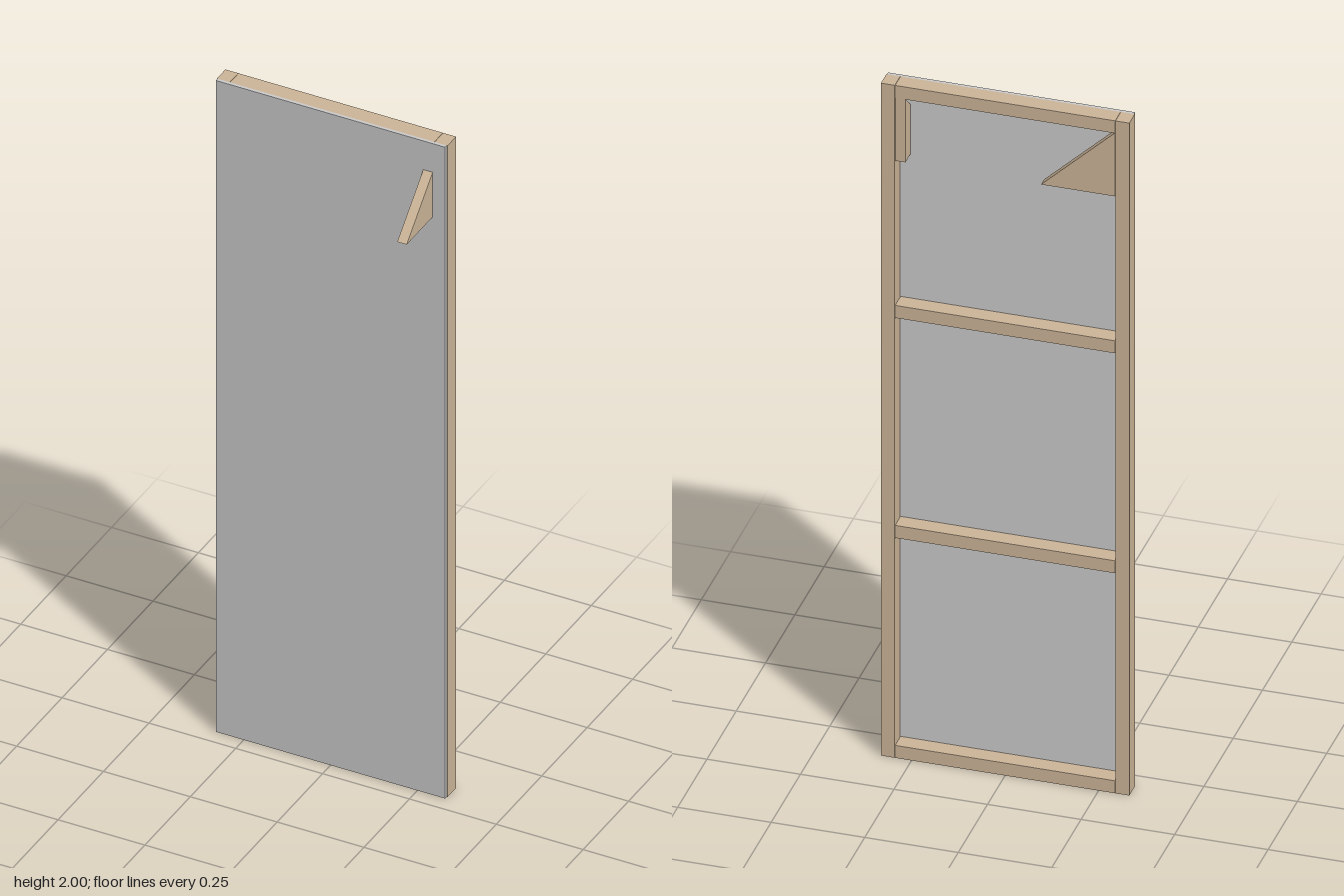
import * as THREE from 'three';

export function createModel() {
  const model = new THREE.Group();
  const wood = new THREE.MeshStandardMaterial({ color: 0xcdb699, flatShading: true });
  const grey = new THREE.MeshStandardMaterial({ color: 0xcccccc, flatShading: true });

  const add = (name, geometry, material, x, y, z) => {
    const mesh = new THREE.Mesh(geometry, material);
    mesh.name = name;
    mesh.position.set(x, y, z);
    model.add(mesh);
    return mesh;
  };

  const bar = 0.037, depth = 0.047, back = -0.1;
  const frameZ = back + depth / 2;

  // Facing sheet
  add('panel', new THREE.BoxGeometry(0.66, 2, 0.009), grey, 0, 1, -0.0485);

  // Upright stiles
  for (const side of [-1, 1]) {
    add(side > 0 ? 'leftStile' : 'rightStile',
      new THREE.BoxGeometry(bar, 2, depth), wood, side * 0.3135, 1, frameZ);
  }

  // Four evenly spaced cross rails
  for (let i = 0; i < 4; i++) {
    const y = bar / 2 + i * (2 - bar) / 3;
    add('rail' + (i + 1), new THREE.BoxGeometry(0.588, bar, depth), wood, 0, y, frameZ);
  }

  // Right-angled triangular block, its square corner at the origin
  const wedge = new THREE.Shape([
    new THREE.Vector2(0, 0),
    new THREE.Vector2(0.198, 0),
    new THREE.Vector2(0, 0.189),
  ]);
  const wedgeGeometry = new THREE.ExtrudeGeometry(wedge, { depth: 0.027, bevelEnabled: false });

  // Corner gusset lying flush with the back of the frame
  add('cornerGusset', wedgeGeometry, wood, -0.294, 1.775, back + 0.0005);

  // Bracket passing through the sheet and pointing forward
  const bracket = add('frontBracket', wedgeGeometry, wood, 0.294, 1.775, back + 0.0015);
  bracket.rotation.y = -Math.PI / 2;

  return model;
}
